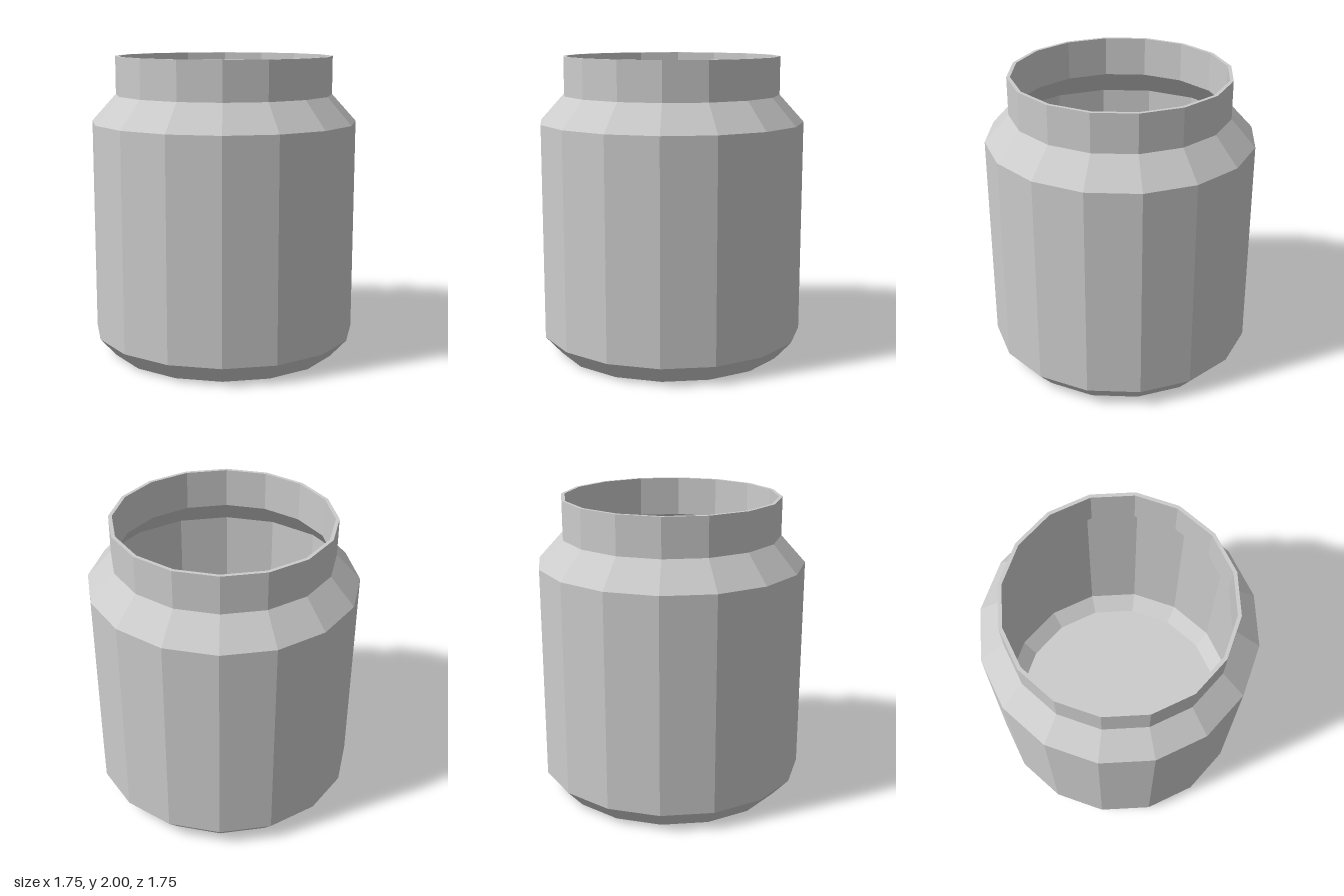
import * as THREE from 'three';

const SIDES = 16;
// Profiles use flat-to-centre distances; this turns them into corner radii.
const CORNER = 1 / Math.cos(Math.PI / SIDES);

export function createModel() {
  const jar = new THREE.Group();
  jar.name = 'jar';
  const glass = new THREE.MeshStandardMaterial({ color: 0xcccccc, flatShading: true });
  glass.name = 'pale grey glass';

  // Faceted ring surface; profiles running up face out, running down face in.
  function addRing(name, profile) {
    const points = profile.map(([r, y]) => new THREE.Vector2(r * CORNER, y));
    const geometry = new THREE.LatheGeometry(points, SIDES, Math.PI / SIDES);
    const mesh = new THREE.Mesh(geometry, glass);
    mesh.name = name;
    jar.add(mesh);
  }

  // Outer shell
  addRing('base', [[0, 0], [0.765, 0], [0.875, 0.125]]);
  addRing('body', [[0.875, 0.125], [0.875, 1.565]]);
  addRing('shoulder', [[0.875, 1.565], [0.715, 1.745]]);
  addRing('neck', [[0.715, 1.745], [0.715, 2]]);
  addRing('rim', [[0.715, 2], [0.692, 2]]);

  // Hollow inside
  addRing('innerNeck', [[0.692, 2], [0.692, 1.735]]);
  addRing('innerShoulder', [[0.692, 1.735], [0.852, 1.555]]);
  addRing('innerBody', [[0.852, 1.555], [0.852, 0.135]]);
  addRing('innerFloor', [[0.852, 0.135], [0.755, 0.023], [0, 0.023]]);

  return jar;
}
